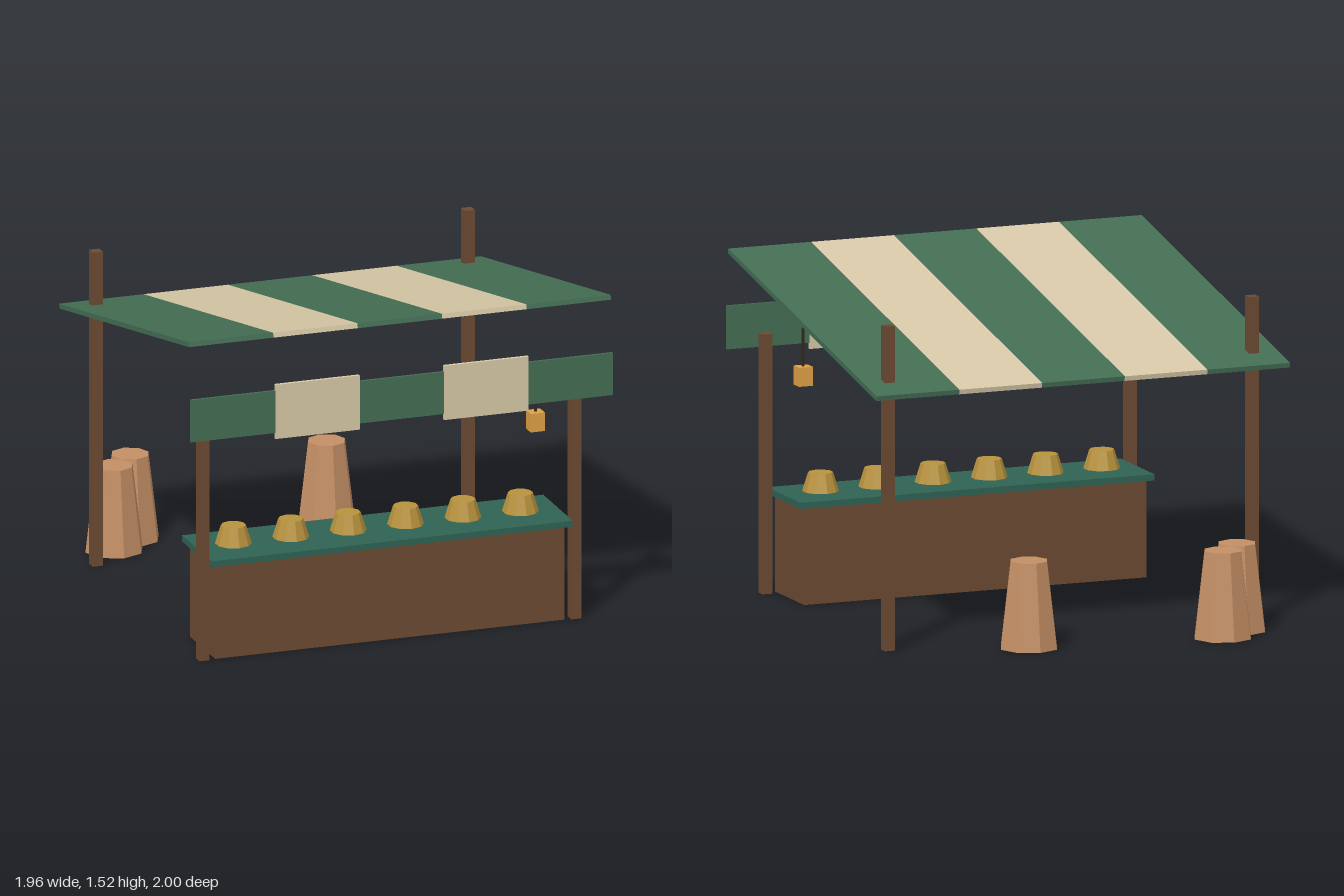
import * as THREE from 'three';

const paint = (color) => new THREE.MeshStandardMaterial({ color, flatShading: true });

export function createModel() {
  const stall = new THREE.Group();
  stall.name = 'marketStall';

  const wood = paint(0x6b4a32);
  const green = paint(0x446e54);
  const cream = paint(0xd6c8a6);
  const teal = paint(0x2f6354);
  const brass = paint(0xb8923c);
  const barrelWood = paint(0xc48f65);
  const amber = paint(0xe0a045);
  const iron = paint(0x33291f);

  const add = (parent, name, geometry, material, x, y, z) => {
    const mesh = new THREE.Mesh(geometry, material);
    mesh.name = name;
    mesh.position.set(x, y, z);
    parent.add(mesh);
    return mesh;
  };
  const box = (parent, name, material, w, h, d, x, y, z) =>
    add(parent, name, new THREE.BoxGeometry(w, h, d), material, x, y, z);

  // Counter with overhanging top
  box(stall, 'counter', wood, 1.625, 0.435, 0.33, 0, 0.2175, 0.675);
  box(stall, 'counterTop', teal, 1.68, 0.028, 0.385, 0, 0.449, 0.678);

  // Corner posts: short in front, tall behind
  for (const side of [-1, 1]) {
    box(stall, 'frontPost', wood, 0.047, 1.16, 0.047, side * 0.865, 0.58, 0.825);
    box(stall, 'backPost', wood, 0.047, 1.45, 0.047, side * 0.865, 0.725, -0.567);
  }

  // Sloping striped awning and the hanging valance in front of it
  const awning = new THREE.Group();
  awning.name = 'awning';
  awning.position.set(0, 1.335, 0.126);
  awning.rotation.x = -0.205;
  stall.add(awning);
  const stripe = 0.3925;
  for (let i = 0; i < 5; i++) {
    const x = (i - 2) * stripe;
    const isCream = i % 2 === 1;
    const cloth = isCream ? cream : green;
    box(awning, 'awningStripe', cloth, stripe, 0.022, 1.727, x, 0, 0);
    box(stall, 'valancePanel', cloth, stripe, isCream ? 0.25 : 0.195, isCream ? 0.016 : 0.012, x, 1.165, 0.992);
  }

  // Row of upturned bowls
  const bowl = new THREE.CylinderGeometry(0.055, 0.081, 0.084, 10);
  for (let i = 0; i < 6; i++) add(stall, 'bowl', bowl, brass, -0.67 + i * 0.267, 0.511, 0.678);

  // Lantern on its rod
  box(stall, 'lantern', amber, 0.066, 0.085, 0.062, 0.665, 0.947, 0.875);
  box(stall, 'lanternRod', iron, 0.01, 0.172, 0.01, 0.665, 1.075, 0.875);

  // Tapered barrels behind the stall
  const barrel = new THREE.CylinderGeometry(0.086, 0.133, 0.39, 8);
  for (const [x, z] of [[-0.6, -0.867], [-0.72, -0.74], [0.273, -0.753]]) {
    add(stall, 'barrel', barrel, barrelWood, x, 0.195, z);
  }

  return stall;
}
